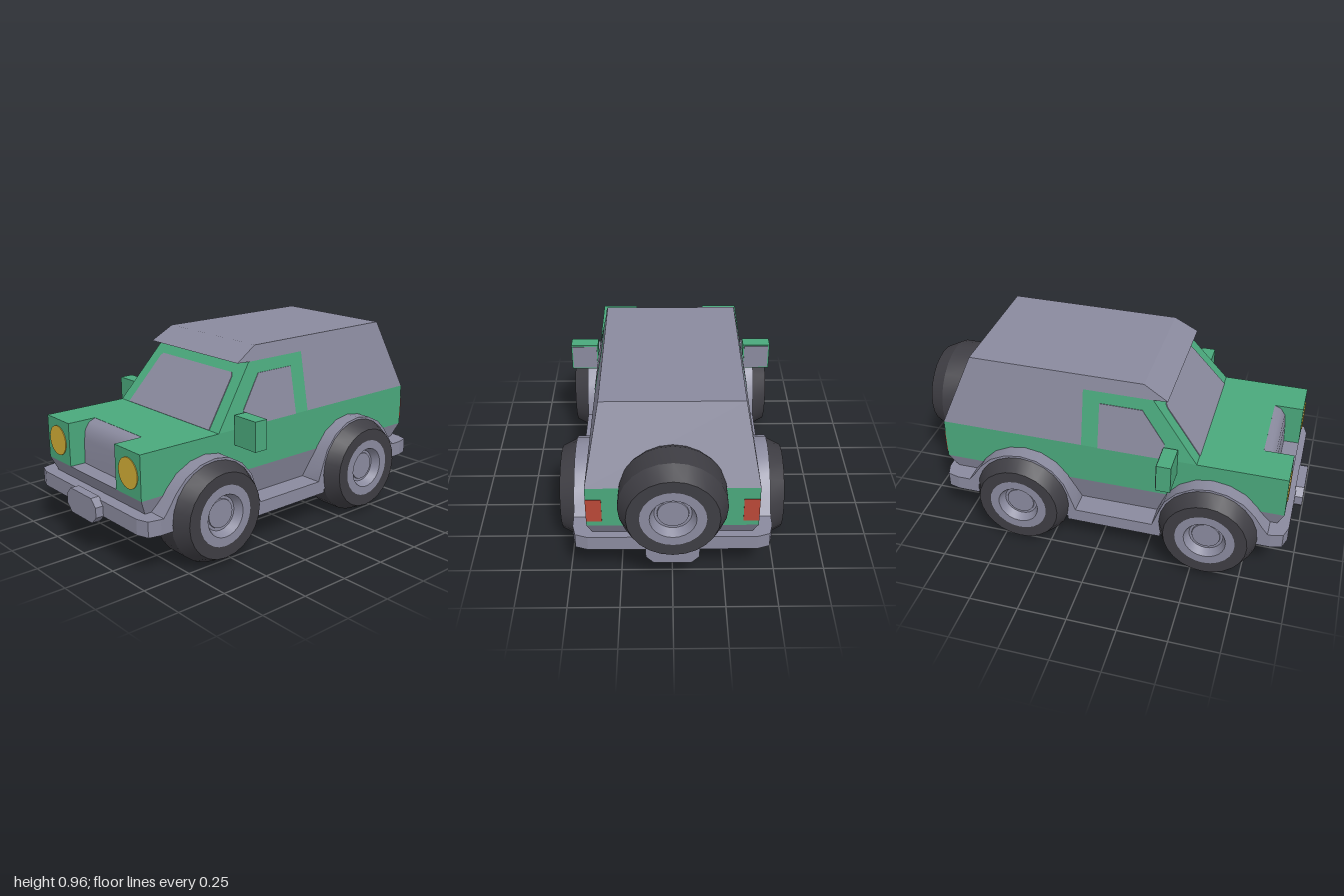
import * as THREE from 'three';
import { toCreasedNormals } from 'three/addons/utils/BufferGeometryUtils.js';

const mat = (name, color) => {
  const m = new THREE.MeshStandardMaterial({ color });
  m.name = name;
  return m;
};

// Shape from [a, b] pairs
const shapeOf = pts => new THREE.Shape(pts.map(p => new THREE.Vector2(p[0], p[1])));
const extrude = (pts, depth) => new THREE.ExtrudeGeometry(shapeOf(pts), { depth, bevelEnabled: false });

// Side profile of [z, y] points, extruded across x from x0 to x1
const sideProfile = (pts, x0, x1) =>
  extrude(pts, x1 - x0).rotateY(-Math.PI / 2).translate(x1, 0, 0);

// Plan outline: half of the [x, z] points, mirrored, extruded from y0 to y1
const plan = (half, y0, y1) => {
  const pts = [...half, ...half.map(([x, z]) => [-x, z]).reverse()];
  return extrude(pts, y1 - y0).rotateX(Math.PI / 2).translate(0, y1, 0);
};

// Cabin walls lean inwards above the waistline
const BELT = 0.59;
const cabin = (pts, halfWidth) => {
  const g = sideProfile(pts, -halfWidth, halfWidth);
  const p = g.attributes.position;
  for (let i = 0; i < p.count; i++) {
    p.setX(i, p.getX(i) * (1 - 0.175 * (p.getY(i) - BELT) / 0.37));
  }
  g.computeVertexNormals();
  return g;
};

export function createModel() {
  const car = new THREE.Group();
  car.name = 'offRoadCar';
  const green = mat('greenPaint', 0x4aa87c);
  const grey = mat('greyTrim', 0x8a8a9e);
  const rubber = mat('darkRubber', 0x3e3d43);
  const yellow = mat('yellowLamp', 0xd2ae36);
  const red = mat('redLamp', 0xb94838);

  const add = (name, geometry, material, parent = car) => {
    const m = new THREE.Mesh(geometry, material);
    m.name = name;
    parent.add(m);
    return m;
  };
  const box = (name, material, x0, x1, y0, y1, z0, z1, parent) =>
    add(name, new THREE.BoxGeometry(x1 - x0, y1 - y0, z1 - z0)
      .translate((x0 + x1) / 2, (y0 + y1) / 2, (z0 + z1) / 2), material, parent);

  // Lower body with a notch for the grille
  add('body', plan([[0.2, 0.78], [0.2, 0.93], [0.4, 0.93], [0.4, -0.84]], 0.37, BELT), green);
  add('grille', toCreasedNormals(sideProfile(
    [[0.7, 0.589], [0.78, 0.589], [0.815, 0.575], [0.838, 0.54], [0.845, 0.49], [0.85, 0.37], [0.7, 0.37]],
    -0.2, 0.2), 0.8), grey);

  // Sill that narrows towards the ground
  const sill = new THREE.BoxGeometry(0.8, 0.15, 1.77).translate(0, 0.295, 0.045);
  const sp = sill.attributes.position;
  for (let i = 0; i < sp.count; i++) {
    if (sp.getY(i) > 0.3) continue;
    sp.setX(i, sp.getX(i) * 0.893);
    sp.setZ(i, sp.getZ(i) > 0 ? 0.866 : -0.755);
  }
  sill.computeVertexNormals();
  add('sill', sill, grey);

  // Hard top, door frames and glass
  add('hardTop', cabin([[-0.1, BELT], [-0.84, BELT], [-0.69, 0.96], [0.2, 0.96],
    [0.32, 0.89], [0.24, 0.887], [-0.1, 0.887]], 0.4), grey);
  add('doorFrames', cabin([[-0.1, BELT], [0.485, BELT], [0.25, 0.887], [-0.1, 0.887]], 0.4), green);
  add('sideWindows', cabin([[-0.015, BELT], [0.32, BELT], [0.32, 0.67], [0.2, 0.828], [-0.015, 0.828]], 0.403), grey);
  const windscreen = add('windscreen', extrude([[-0.33, 0], [0.33, 0], [0.288, 0.288], [0.275, 0.306],
    [-0.275, 0.306], [-0.288, 0.288]], 0.004), grey);
  windscreen.rotation.x = -Math.atan2(0.235, 0.297);
  windscreen.position.set(0, BELT, 0.485);

  // Bumpers with cut corners
  add('frontBumper', plan([[0.475, 0.72], [0.475, 0.88], [0.46, 0.94], [0.4, 0.96]], 0.22, 0.297), grey);
  add('rearBumper', plan([[0.4, -0.84], [0.46, -0.82], [0.475, -0.76], [0.475, -0.55]], 0.22, 0.297), grey);

  // Underbody, wide between the wheels
  add('underbody', plan([[0.295, 0.77], [0.295, 0.36], [0.475, 0.33], [0.475, -0.16],
    [0.295, -0.19], [0.295, -0.61]], 0.15, 0.22), grey);

  // Number plates with cut corners, left blank
  const plateShape = [[0.09, -0.062], [0.127, -0.025], [0.127, 0.025], [0.09, 0.062]];
  const plateOutline = [...plateShape, ...plateShape.map(([x, y]) => [-x, y]).reverse()];
  add('frontPlate', extrude(plateOutline, 0.045).translate(0, 0.248, 0.955), grey);
  add('rearPlate', extrude(plateOutline, 0.035).translate(0, 0.225, -0.87), grey);

  // Wheels: lathed tyre and rim
  const lathe = pts => toCreasedNormals(
    new THREE.LatheGeometry(pts.map(p => new THREE.Vector2(p[0], p[1])), 24), 0.4);
  const tyreGeo = lathe([[0, -0.1425], [0.21, -0.1425], [0.25, -0.0575], [0.25, 0.0625], [0.21, 0.1425], [0.15, 0.1425]]);
  const rimGeo = lathe([[0.15, 0.1425], [0.105, 0.1425], [0.085, 0.1], [0.072, 0.1], [0.07, 0.106], [0, 0.106]]);
  const wheel = (name, x, y, z) => {
    const g = new THREE.Group();
    g.name = name;
    g.position.set(x, y, z);
    add('tyre', tyreGeo, rubber, g);
    add('rim', rimGeo, grey, g);
    car.add(g);
    return g;
  };
  wheel('spareWheel', 0, 0.545, -0.8575).rotation.x = -Math.PI / 2;

  // Flared arch; d points from the wheel to the nearer bumper
  const arch = (zc, d) => {
    const pts = [[0.3, 0.22], [0.3, 0.29], [0.265, 0.335], [0.225, 0.395], [0.165, 0.456], [0.085, 0.496],
      [0, 0.51], [-0.085, 0.496], [-0.165, 0.45], [-0.225, 0.38], [-0.255, 0.3], [-0.285, 0.215], [-0.285, 0.15]];
    for (let i = 0; i <= 10; i++) {
      const a = Math.PI * (1.1 - i * 0.11);
      pts.push([0.23 * Math.cos(a), 0.25 + 0.23 * Math.sin(a)]);
    }
    return pts.map(([z, y]) => [zc + d * z, y]);
  };

  // Parts on both sides
  for (const s of [1, -1]) {
    const side = s > 0 ? 'left' : 'right';
    const span = (a, b) => (s > 0 ? [a, b] : [-b, -a]);
    for (const [end, zc, d] of [['Front', 0.57, 1], ['Rear', -0.4, -1]]) {
      wheel(`${side}${end}Wheel`, s * 0.4075, 0.25, zc).rotation.z = -s * Math.PI / 2;
      add(`${side}${end}Arch`, toCreasedNormals(sideProfile(arch(zc, d), ...span(0.35, 0.475)), 0.6), grey);
    }
    // Lamps
    add(`${side}Headlight`, new THREE.CylinderGeometry(0.075, 0.075, 0.008, 32)
      .rotateX(Math.PI / 2).translate(s * 0.305, 0.48, 0.93), yellow);
    box(`${side}TailLight`, red, ...span(0.327, 0.4), 0.4, 0.525, -0.844, -0.838);
    // Door mirror with its glass at the back
    box(`${side}Mirror`, green, ...span(0.402, 0.55), 0.515, 0.663, 0.318, 0.39);
    box(`${side}MirrorGlass`, grey, ...span(0.41, 0.542), 0.523, 0.655, 0.314, 0.32);
  }
  return car;
}
